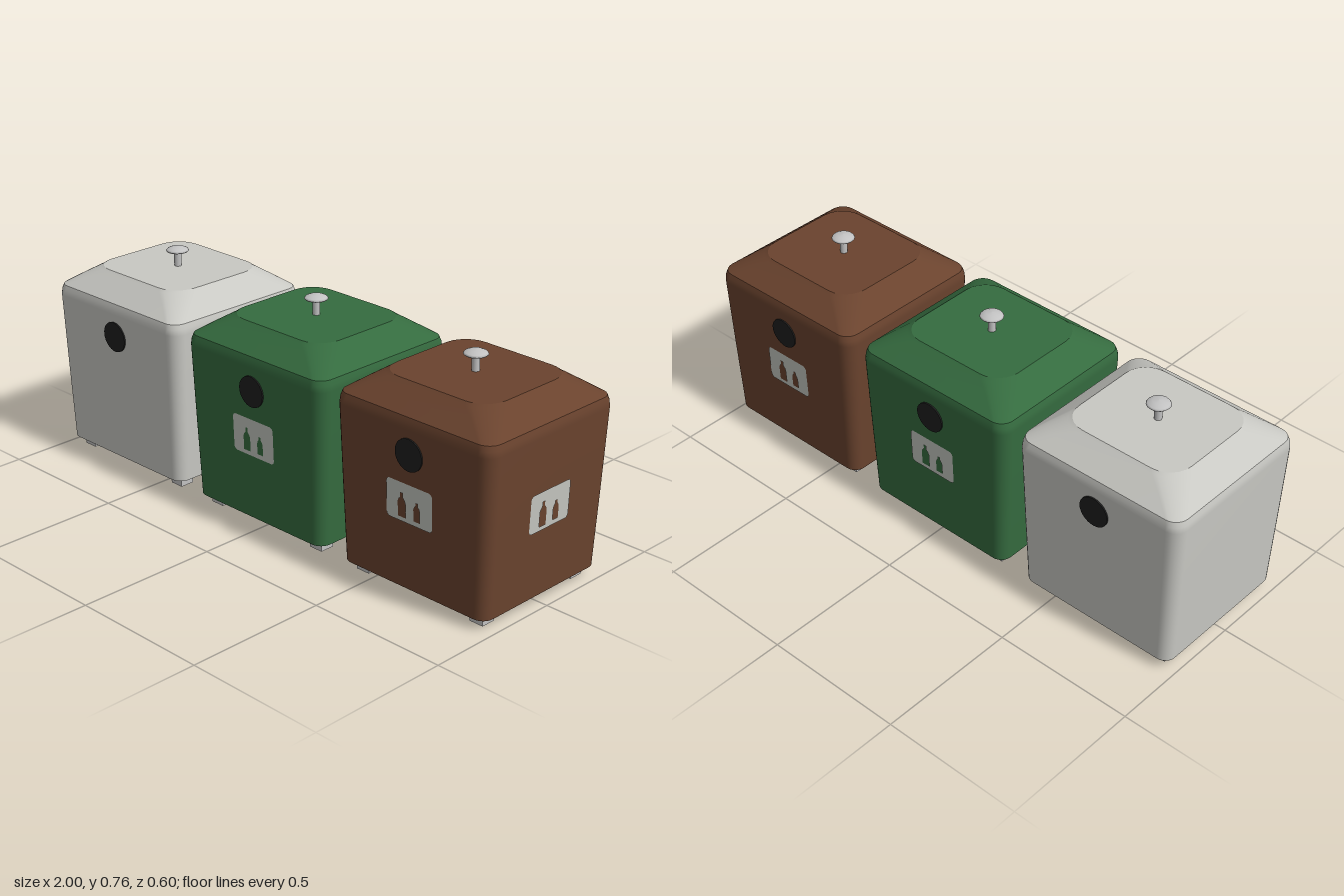
import * as THREE from 'three';

const mat = (name, color) => {
  const m = new THREE.MeshStandardMaterial({ color });
  m.name = name;
  return m;
};

// Skin through rounded rectangles given as [y, halfX, halfZ, cornerRadius]
function loft(sections) {
  const pos = [], index = [], n = 6, ring = 4 * (n + 1);
  for (const [y, hx, hz, r] of sections) {
    for (let k = 0; k < 4; k++) {
      const sx = k === 0 || k === 3 ? 1 : -1, sz = k < 2 ? -1 : 1;
      for (let j = 0; j <= n; j++) {
        const a = (k + j / n) * Math.PI / 2;
        pos.push(sx * (hx - r) + r * Math.cos(a), y, sz * (hz - r) - r * Math.sin(a));
      }
    }
  }
  for (let s = 0; s < sections.length - 1; s++) {
    for (let i = 0; i < ring; i++) {
      const a = s * ring + i, b = s * ring + (i + 1) % ring;
      index.push(a, b, b + ring, a, b + ring, a + ring);
    }
  }
  const g = new THREE.BufferGeometry();
  g.setAttribute('position', new THREE.Float32BufferAttribute(pos, 3));
  g.setIndex(index);
  g.computeVertexNormals();
  return g;
}

// Bottle outline standing on y, used as a cutout
function bottle(x, y, w, body, total) {
  const h = w / 2, neck = w * 0.17;
  return new THREE.Path([
    [-h, 0], [h, 0], [h, body], [h * 0.75, body + 0.009], [neck, body + 0.016],
    [neck, total], [-neck, total], [-neck, body + 0.016], [-h * 0.75, body + 0.009], [-h, body],
  ].map(([px, py]) => new THREE.Vector2(x + px, y + py)));
}

// Rounded sign with two bottle cutouts, centred on its own origin
function signGeometry(hw, hh, r) {
  const s = new THREE.Shape();
  s.absarc(hw - r, hh - r, r, 0, Math.PI / 2);
  s.absarc(r - hw, hh - r, r, Math.PI / 2, Math.PI);
  s.absarc(r - hw, r - hh, r, Math.PI, Math.PI * 1.5);
  s.absarc(hw - r, r - hh, r, Math.PI * 1.5, Math.PI * 2);
  s.closePath();
  s.holes.push(bottle(-0.031, -0.052, 0.031, 0.05, 0.082));
  s.holes.push(bottle(0.03, -0.05, 0.026, 0.038, 0.064));
  return new THREE.ShapeGeometry(s, 4);
}

export function createModel() {
  const group = new THREE.Group();
  const metal = mat('light metal', 0xc2c2c2);
  const black = mat('dark opening', 0x1e1e1e);
  const signPaint = mat('sign off-white', 0xc4c6c0);
  const bins = [
    ['whiteGlassBin', -0.683, mat('pale grey', 0xc8c8c3), false],
    ['greenGlassBin', 0, mat('green', 0x356b3f), true],
    ['brownGlassBin', 0.683, mat('brown', 0x6a432e), true],
  ];

  const bodyGeo = loft([
    [0.036, 0.295, 0.273, 0.04], [0.3, 0.305, 0.284, 0.043],
    [0.58, 0.315, 0.295, 0.047], [0.6, 0.313, 0.293, 0.047], [0.617, 0.308, 0.288, 0.047],
  ]);
  const floorGeo = loft([[0.036, 0, 0, 0], [0.036, 0.295, 0.273, 0.04]]);
  const lidGeo = loft([
    [0.617, 0.308, 0.288, 0.047], [0.65, 0.266, 0.246, 0.065],
    [0.679, 0.227, 0.209, 0.085], [0.687, 0.217, 0.2, 0.085],
  ]);
  const lidTopGeo = loft([[0.687, 0.217, 0.2, 0.085], [0.687, 0, 0, 0]]);
  const footGeo = new THREE.BoxGeometry(0.052, 0.036, 0.052);
  const stemGeo = new THREE.CylinderGeometry(0.013, 0.013, 0.055, 12);
  const capGeo = new THREE.LatheGeometry([
    [0, 0.734], [0.015, 0.734], [0.036, 0.739], [0.04, 0.743], [0.036, 0.748], [0.02, 0.755], [0, 0.757],
  ].map(([x, y]) => new THREE.Vector2(x, y)), 16);
  const discGeo = new THREE.CylinderGeometry(0.054, 0.054, 0.008, 32).rotateX(Math.PI / 2);
  const signGeo = signGeometry(0.093, 0.066, 0.014);

  for (const [binName, x, paint, hasSigns] of bins) {
    const bin = new THREE.Group();
    bin.name = binName;
    bin.position.x = x;
    group.add(bin);
    const add = (name, geo, material, parent = bin) => {
      const m = new THREE.Mesh(geo, material);
      m.name = name;
      parent.add(m);
      return m;
    };

    add('body', bodyGeo, paint);
    add('floor', floorGeo, paint);
    add('lid', lidGeo, paint);
    add('lidTop', lidTopGeo, paint);

    // Lifting knob
    add('knobStem', stemGeo, metal).position.y = 0.712;
    add('knobCap', capGeo, metal);

    // Feet
    for (const sx of [-1, 1]) for (const sz of [-1, 1])
      add('foot', footGeo, metal).position.set(sx * 0.236, 0.018, sz * 0.212);

    // Details on the four leaning walls; openings only on front and back
    for (let side = 0; side < 4; side++) {
      const wall = new THREE.Group();
      wall.name = 'wallDetails';
      wall.rotation.y = side * Math.PI / 2;
      bin.add(wall);
      const base = side % 2 ? 0.295 : 0.273, slope = side % 2 ? 0.0368 : 0.0404;
      const place = (mesh, y, out) => {
        mesh.position.set(0, y, base + slope * (y - 0.036) + out);
        mesh.rotation.x = Math.atan(slope);
      };
      if (side % 2 === 0) place(add('opening', discGeo, black, wall), 0.499, 0.001);
      if (hasSigns) place(add('sign', signGeo, signPaint, wall), 0.333, 0.003);
    }
  }
  return group;
}
